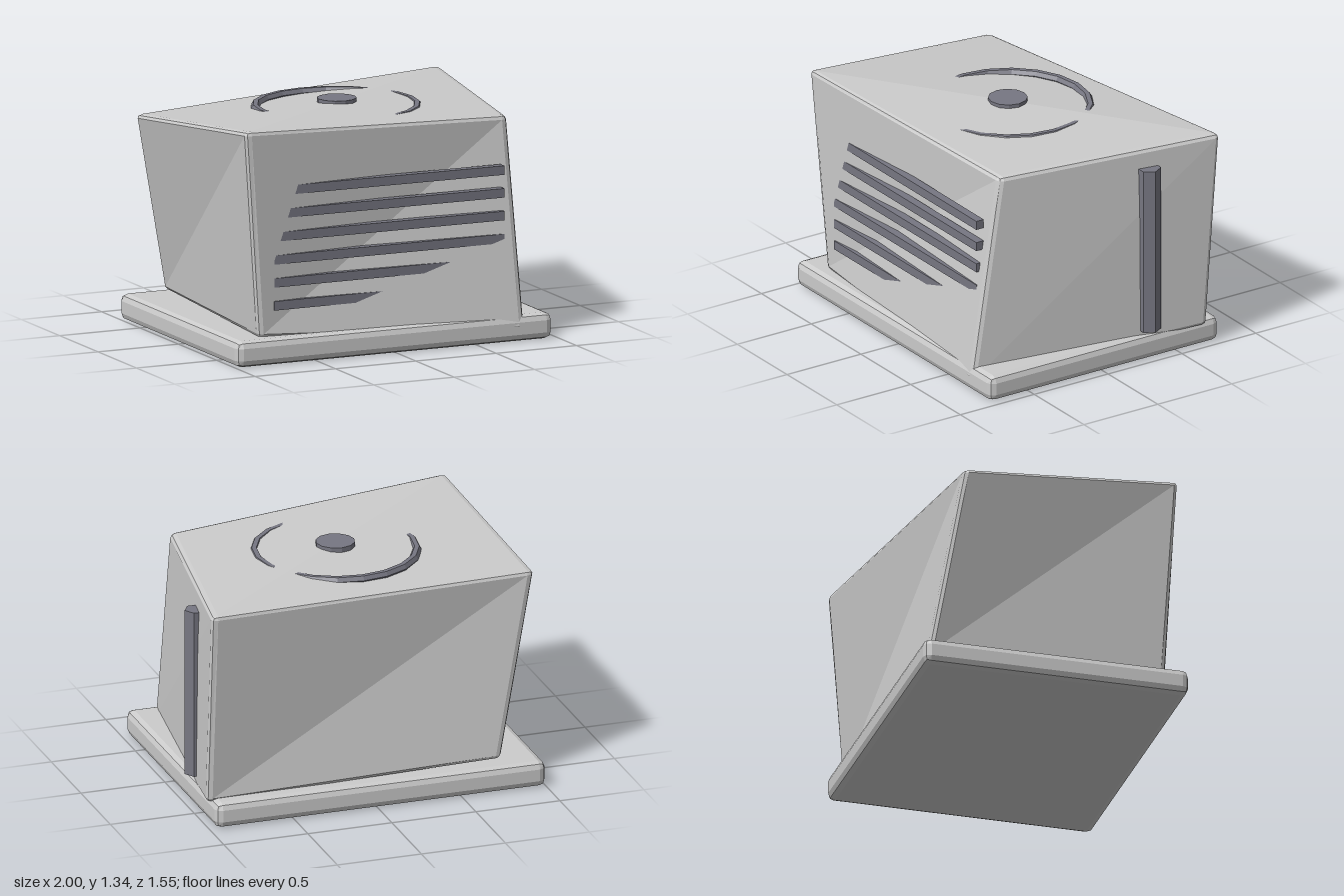
import * as THREE from 'three';
import { RoundedBoxGeometry } from 'three/addons/geometries/RoundedBoxGeometry.js';

const bodyMaterial = new THREE.MeshStandardMaterial({ color: 0xcccccc, flatShading: true });
const trimMaterial = new THREE.MeshStandardMaterial({ color: 0x777782, flatShading: true });

// Corners of the crooked cabinet: [x, y, z], keyed by left/right on screen, bottom/top, back/front.
const CORNERS = {
  '-1-1-1': [-0.76, 0.17, -0.69], '1-1-1': [0.99, 0.13, -0.68],
  '-1-11': [-0.825, 0.145, 0.68], '1-11': [0.785, 0.07, 0.78],
  '-11-1': [-1.01, 1.22, -0.545], '11-1': [0.99, 1.285, -0.77],
  '-111': [-0.925, 1.345, 0.73], '111': [0.77, 1.265, 0.575],
};

// Chamfered cube pulled onto eight corners by trilinear blending.
function warpedBox(corners, bevel) {
  const geometry = new RoundedBoxGeometry(2, 2, 2, 1, bevel);
  const pos = geometry.attributes.position;
  const p = new THREE.Vector3(), q = new THREE.Vector3();
  for (let i = 0; i < pos.count; i++) {
    p.fromBufferAttribute(pos, i);
    q.set(0, 0, 0);
    for (const sx of [-1, 1]) for (const sy of [-1, 1]) for (const sz of [-1, 1]) {
      const weight = (1 + sx * p.x) * (1 + sy * p.y) * (1 + sz * p.z) / 8;
      q.addScaledVector(new THREE.Vector3(...corners[`${sx}${sy}${sz}`]), weight);
    }
    pos.setXYZ(i, q.x, q.y, q.z);
  }
  geometry.computeVertexNormals();
  return geometry;
}

export function createModel() {
  const model = new THREE.Group();
  const add = (name, geometry, material, x, y, z) => {
    const mesh = new THREE.Mesh(geometry, material);
    mesh.name = name;
    mesh.position.set(x, y, z);
    model.add(mesh);
    return mesh;
  };

  // Base slab
  const base = new RoundedBoxGeometry(1.965, 0.15, 1.55, 1, 0.04);
  add('base', base, bodyMaterial, -0.0175, 0.078, -0.003);

  // Skewed cabinet
  add('cabinet', warpedBox(CORNERS, 0.04), bodyMaterial, 0, 0, 0);

  // Front grille slats, partly sunk into the twisted front face
  for (let i = 0; i < 6; i++) {
    const slat = add('grilleSlat', new THREE.BoxGeometry(1.43, 0.052, 0.05),
      trimMaterial, -0.015, 0.98 - i * 0.131, 0.665);
    slat.rotation.z = -0.004 * (1 - i / 5);
  }

  // Hexagonal strip up the side
  const strip = add('sideStrip', new THREE.CylinderGeometry(0.068, 0.068, 0.99, 6),
    trimMaterial, 0.928, 0.67, -0.325);
  strip.rotation.y = Math.PI / 2;

  // Ring and knob on the top
  const ring = add('topRing', new THREE.TorusGeometry(0.458, 0.027, 6, 20),
    trimMaterial, -0.012, 1.274, -0.01);
  ring.rotation.x = -Math.PI / 2;
  add('topKnob', new THREE.CylinderGeometry(0.112, 0.112, 0.06, 12), trimMaterial, -0.013, 1.3, -0.003);

  return model;
}
